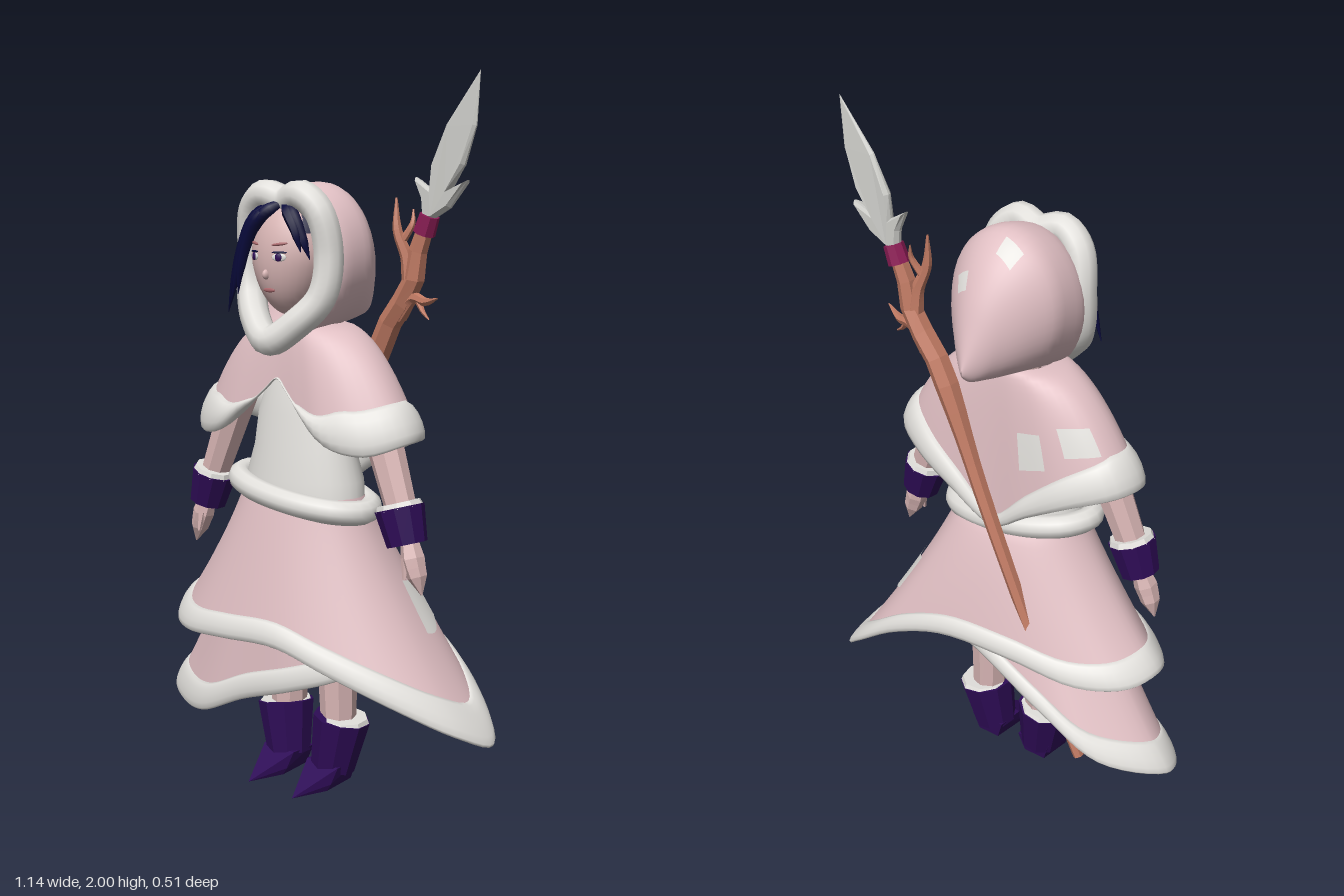
import * as THREE from 'three';
import { mergeVertices } from 'three/addons/utils/BufferGeometryUtils.js';
import { ConvexGeometry } from 'three/addons/geometries/ConvexGeometry.js';

const colours = {
  pink: 0xe0bfc3, white: 0xe2e0dc, skin: 0xd9b6b5, purple: 0x2e0c56, hair: 0x08093a,
  wood: 0xc07a63, magenta: 0x8c1c55, blade: 0xcececa, lip: 0xa8686c,
};
const mats = {};
for (const [name, color] of Object.entries(colours)) {
  mats[name] = new THREE.MeshStandardMaterial({ color, side: THREE.DoubleSide });
  mats[name].name = name;
}
const V = (x, y, z) => new THREE.Vector3(x, y, z);
const loop = (pts) => new THREE.CatmullRomCurve3(pts.map((p) => V(...p)), true);
const path = (pts) => new THREE.CatmullRomCurve3(pts.map((p) => V(...p)));

// Smooth surface from a function of (u, v), welded so closed loops have no seam
function grid(fn, nu, nv) {
  const pos = [], idx = [], p = V(0, 0, 0);
  for (let j = 0; j <= nv; j++) for (let i = 0; i <= nu; i++) {
    fn(i / nu, j / nv, p);
    pos.push(p.x, p.y, p.z);
    if (i < nu && j < nv) {
      const a = j * (nu + 1) + i, b = a + nu + 1;
      idx.push(a, b, a + 1, b, b + 1, a + 1);
    }
  }
  const g = new THREE.BufferGeometry();
  g.setAttribute('position', new THREE.Float32BufferAttribute(pos, 3));
  g.setIndex(idx);
  const m = mergeVertices(g, 1e-5);
  m.computeVertexNormals();
  return m;
}
const patch = (f, u0, u1, t0, t1, off) => grid((u, v, p) =>
  f(u0 + (u1 - u0) * u, t0 + (t1 - t0) * v + 0.02 * u, off, p), 6, 6);

// Cloth draped from an ellipse down to a hem curve; power bends x, y, front z and back z
function cloth(top, hemPts, spread, power) {
  const hem = loop(hemPts);
  return (u, t, off, p) => {
    const h = hem.getPoint(((u % 1) + 1) % 1);
    const a = Math.atan2(h.x / spread[0], h.z / spread[1]), s = Math.sin(a), c = Math.cos(a);
    const mix = (from, to, e) => from + (to - from) * Math.pow(t, e);
    const bendZ = (power[2] + power[3]) / 2 + c * (power[2] - power[3]) / 2;
    return p.set(mix(top.rx * s, h.x, power[0]) + off * s, mix(top.y, h.y, power[1]),
      mix(top.cz + top.rz * c, h.z, bendZ) + off * c);
  };
}
const sheet = (f) => grid((u, v, p) => f(u, v, 0, p), 72, 16);
const furTrim = (f, half, thick) => grid((u, v, p) => {
  const a = v * Math.PI * 2, h = half(u);
  f(u, 1 - h + h * Math.cos(a), -thick * Math.min(1, h / 0.05) * Math.sin(a), p);
}, 72, 12);

// Tube whose radius follows a list of values along its path
function taper(pts, radii, sides = 7, segs = 16) {
  const c = path(pts), g = new THREE.TubeGeometry(c, segs, 1, sides), q = g.attributes.position, p = V(0, 0, 0);
  for (let i = 0; i < q.count; i++) {
    const t = Math.floor(i / (sides + 1)) / segs, k = t * (radii.length - 1), n = Math.min(Math.floor(k), radii.length - 2);
    const r = radii[n] + (radii[n + 1] - radii[n]) * (k - n), o = c.getPointAt(t);
    p.fromBufferAttribute(q, i).sub(o).multiplyScalar(r).add(o);
    q.setXYZ(i, p.x, p.y, p.z);
  }
  g.computeVertexNormals();
  return g;
}
function facet(g) {
  const f = g.index ? g.toNonIndexed() : g;
  f.computeVertexNormals();
  return f;
}
// Faceted cylinder from point a to point b
function limb(a, b, ra, rb, sides = 8) {
  const A = V(...a), B = V(...b), d = B.clone().sub(A);
  const g = new THREE.CylinderGeometry(rb, ra, d.length(), sides);
  g.applyQuaternion(new THREE.Quaternion().setFromUnitVectors(V(0, 1, 0), d.normalize()));
  g.translate(...A.add(B).multiplyScalar(0.5).toArray());
  return facet(g);
}

export function createModel() {
  const root = new THREE.Group();
  const add = (name, geo, mat) => {
    const m = new THREE.Mesh(geo, mats[mat]);
    m.name = name;
    root.add(m);
    return m;
  };
  const blob = (name, mat, x, y, z, sx, sy, sz) => {
    const m = add(name, new THREE.SphereGeometry(1, 16, 12), mat);
    m.position.set(x, y, z);
    m.scale.set(sx, sy, sz);
    return m;
  };

  // Two skirt layers, each sweeping to a tail on its own side
  const upper = cloth({ rx: 0.2, rz: 0.13, y: 0.86, cz: 0.02 }, [
    [-0.1, 0.45, 0.248], [0.1, 0.46, 0.238], [0.25, 0.41, 0.2], [0.42, 0.33, 0.11], [0.54, 0.25, -0.01],
    [0.57, 0.205, -0.13], [0.47, 0.29, -0.203], [0.3, 0.41, -0.228], [0.1, 0.49, -0.232], [-0.12, 0.49, -0.215],
    [-0.32, 0.45, -0.17], [-0.44, 0.45, -0.09], [-0.475, 0.46, 0.02], [-0.41, 0.43, 0.13], [-0.28, 0.43, 0.215],
  ], [0.5, 0.24], [1.2, 1, 0.92, 0.62]);
  const lower = cloth({ rx: 0.18, rz: 0.11, y: 0.85, cz: 0.01 }, [
    [-0.1, 0.25, 0.17], [0.1, 0.32, 0.17], [0.25, 0.38, 0.13], [0.32, 0.44, 0], [0.25, 0.48, -0.13], [0, 0.46, -0.2],
    [-0.24, 0.36, -0.225], [-0.42, 0.25, -0.197], [-0.565, 0.19, -0.06], [-0.54, 0.17, 0.03], [-0.42, 0.155, 0.11], [-0.28, 0.17, 0.16],
  ], [0.5, 0.22], [1.2, 1, 0.85, 0.8]);
  add('upperSkirt', sheet(upper), 'pink');
  add('upperSkirtTrim', furTrim(upper, () => 0.085, 0.016), 'white');
  add('lowerSkirt', sheet(lower), 'pink');
  add('lowerSkirtTrim', furTrim(lower, () => 0.065, 0.014), 'white');
  add('skirtPatch', patch(upper, 0.31, 0.39, 0.35, 0.56, 0.006), 'white');

  // Bodice and tilted belt
  const bodice = new THREE.LatheGeometry([[0.2, 0.82], [0.195, 0.9], [0.17, 0.98], [0.155, 1.08], [0.12, 1.18], [0.07, 1.28]]
    .map(([r, y]) => new THREE.Vector2(r, y)), 32);
  bodice.scale(1, 1, 0.63).translate(0, 0, 0.015);
  add('bodice', bodice, 'white');
  const ring = Array.from({ length: 12 }, (_, i) => {
    const a = i * Math.PI / 6, x = 0.225 * Math.sin(a);
    return [x, 0.853 - 0.13 * x, 0.02 + 0.125 * Math.cos(a)];
  });
  add('belt', new THREE.TubeGeometry(loop(ring), 48, 0.034, 10, true), 'white');

  // Capelet, open in a V at the front and pointed at the back
  const half = [[0.04, 1.148, 0.13], [0.1, 1.095, 0.14], [0.2, 1.02, 0.15], [0.31, 1.0, 0.115], [0.385, 1.03, 0.03],
    [0.365, 1.03, -0.06], [0.25, 0.99, -0.125], [0.12, 0.92, -0.135]];
  const cape = cloth({ rx: 0.1, rz: 0.095, y: 1.33, cz: 0 }, [[0, 1.18, 0.125], ...half, [0, 0.85, -0.13],
    ...half.slice().reverse().map(([x, y, z]) => [-x, y, z])], [0.38, 0.14], [0.7, 1.45, 0.8, 0.8]);
  const capeFur = (u) => {
    const m = Math.min(u, 1 - u);
    return 0.012 + 0.118 * Math.max(0, Math.min(1, 9 * (m - 0.09), 0.1 + 5 * (0.5 - m)));
  };
  add('capelet', sheet(cape), 'pink');
  add('capeletTrim', furTrim(cape, capeFur, 0.02), 'white');
  add('capeletPatch', patch(cape, 0.55, 0.59, 0.52, 0.74, 0.006), 'white');
  add('capeletPatch', patch(cape, 0.62, 0.665, 0.5, 0.7, 0.006), 'white');

  // Hood drawn back to a drooping point: stations of z, top, bottom, half width
  const stations = [[0.1, 1.67, 1.27, 0.15], [0.03, 1.7, 1.29, 0.178], [-0.06, 1.71, 1.31, 0.172], [-0.13, 1.66, 1.32, 0.13],
    [-0.19, 1.57, 1.33, 0.075], [-0.228, 1.47, 1.34, 0.035], [-0.255, 1.38, 1.365, 0.002]];
  const spine = path(stations.map(([z, t, b]) => [(t + b) / 2, (t - b) / 2, z]));
  const width = path(stations.map(([, , , w]) => [w, 0, 0]));
  const hood = (u, v, off, p) => {
    const s = spine.getPoint(v), w = width.getPoint(v).x, a = -u * Math.PI * 2;
    return p.set((w + off) * Math.sin(a), s.x + (s.y + off) * Math.cos(a), s.z);
  };
  add('hood', grid((u, v, p) => hood(u, v, 0, p), 40, 24), 'pink');
  add('hoodPatch', patch(hood, 0.02, 0.085, 0.39, 0.49, 0.005), 'white');
  add('hoodPatch', patch(hood, -0.13, -0.07, 0.55, 0.63, 0.005), 'white');
  const rimSide = [[0.07, 1.678, 0.1], [0.125, 1.635, 0.09], [0.146, 1.52, 0.075], [0.134, 1.41, 0.09], [0.075, 1.335, 0.13]];
  add('hoodRim', new THREE.TubeGeometry(loop([[0, 1.662, 0.09], ...rimSide, [0, 1.288, 0.155],
    ...rimSide.slice().reverse().map(([x, y, z]) => [-x, y, z])]), 64, 0.042, 10, true), 'white');

  // Head with a narrowed chin
  const head = new THREE.SphereGeometry(1, 28, 22), hp = head.attributes.position;
  for (let i = 0; i < hp.count; i++) {
    const y = hp.getY(i), k = y < 0 ? 1 + 0.22 * y : 1;
    hp.setXYZ(i, hp.getX(i) * 0.115 * k, y * 0.16, hp.getZ(i) * 0.1);
  }
  head.computeVertexNormals();
  add('head', head, 'skin').position.set(0, 1.512, 0.07);
  add('neck', limb([0, 1.22, 0], [0, 1.42, 0.04], 0.05, 0.05, 12), 'skin');
  blob('nose', 'skin', 0, 1.468, 0.164, 0.009, 0.014, 0.014);
  blob('mouth', 'lip', 0, 1.425, 0.154, 0.023, 0.006, 0.004);
  for (const s of [-1, 1]) {
    blob('eye', 'white', s * 0.046, 1.515, 0.162, 0.021, 0.011, 0.004).rotation.y = s * 0.4;
    blob('iris', 'purple', s * 0.046, 1.515, 0.165, 0.01, 0.011, 0.004).rotation.y = s * 0.4;
    blob('lash', 'hair', s * 0.047, 1.528, 0.162, 0.023, 0.003, 0.004).rotation.y = s * 0.4;
    blob('eyebrow', 'lip', s * 0.047, 1.55, 0.161, 0.024, 0.004, 0.004).rotation.set(0, s * 0.4, s * 0.12);
  }

  // Hair cap and swept locks
  const cap = add('hairCap', new THREE.SphereGeometry(1, 24, 12, 0, Math.PI * 2, 0, 1.2), 'hair');
  cap.position.set(0, 1.522, 0.05);
  cap.scale.set(0.128, 0.155, 0.108);
  const locks = [
    [[-0.06, 1.62, 0.145], [-0.1, 1.53, 0.16], [-0.13, 1.44, 0.16], [-0.16, 1.355, 0.155]],
    [[-0.05, 1.62, 0.15], [-0.088, 1.54, 0.165], [-0.108, 1.46, 0.17], [-0.13, 1.39, 0.172]],
    [[-0.035, 1.62, 0.155], [-0.07, 1.56, 0.165], [-0.092, 1.48, 0.172], [-0.1, 1.41, 0.175]],
    [[-0.08, 1.62, 0.125], [-0.12, 1.54, 0.13], [-0.14, 1.46, 0.14], [-0.15, 1.41, 0.145]],
    [[-0.02, 1.63, 0.15], [-0.05, 1.59, 0.16], [-0.075, 1.54, 0.168]],
    [[0.06, 1.63, 0.125], [0.095, 1.57, 0.125], [0.118, 1.51, 0.118]],
    [[0.05, 1.63, 0.13], [0.08, 1.59, 0.137], [0.1, 1.53, 0.135]],
  ];
  for (const l of locks) add('hairLock', taper([[0.015, 1.66, 0.11], ...l], [0.01, 0.018, 0.016, 0.012, 0.001], 6), 'hair');

  for (const s of [-1, 1]) {
    // Arm, fur-lined cuff and mitten-like hand
    add('arm', limb([s * 0.25, 1.14, 0.01], [s * 0.375, 0.83, 0.025], 0.056, 0.042), 'skin');
    add('cuff', limb([s * 0.362, 0.86, 0.027], [s * 0.392, 0.765, 0.029], 0.068, 0.055, 10), 'purple');
    add('cuffLining', limb([s * 0.358, 0.873, 0.027], [s * 0.363, 0.857, 0.027], 0.06, 0.066, 10), 'white');
    add('hand', facet(taper([[s * 0.395, 0.775, 0.025], [s * 0.415, 0.72, 0.03], [s * 0.43, 0.68, 0.03], [s * 0.445, 0.635, 0.03]],
      [0.025, 0.033, 0.027, 0.002], 6, 6)), 'skin');
    add('thumb', limb([s * 0.4, 0.73, 0.045], [s * 0.405, 0.675, 0.055], 0.013, 0.005, 5), 'skin');

    // Leg and boot with a pointed toe
    add('leg', limb([s * 0.085, 0.7, -0.02], [s * 0.1, 0.16, -0.02], 0.07, 0.05), 'skin');
    add('bootShaft', limb([s * 0.088, 0.05, -0.008], [s * 0.112, 0.2, -0.02], 0.064, 0.083, 9), 'purple');
    add('bootLining', limb([s * 0.112, 0.192, -0.02], [s * 0.113, 0.205, -0.02], 0.08, 0.074, 9), 'white');
    const foot = [V(s * 0.088, 0, 0.16)];
    for (const k of [-1, 1]) for (const [w, y, z] of [[0.036, 0.012, -0.045], [0.056, 0.07, -0.052], [0.06, 0.07, 0.035], [0.052, 0.025, 0.055], [0.042, 0.005, 0.06]])
      foot.push(V(s * 0.088 + k * w, y, z));
    add('foot', facet(new ConvexGeometry(foot)), 'purple');
  }

  // Gnarled staff carried across the back
  const twig = (name, pts, radii) => add(name, facet(taper(pts, radii, 6, 20)), 'wood');
  twig('staff', [[-0.325, 0.2, -0.155], [-0.17, 0.55, -0.165], [-0.005, 0.93, -0.163], [0.17, 1.33, -0.15], [0.25, 1.43, -0.145],
    [0.265, 1.51, -0.145], [0.295, 1.6, -0.15]], [0.016, 0.019, 0.019, 0.02, 0.022, 0.024, 0.034, 0.032, 0.022]);
  twig('tallBranch', [[0.245, 1.43, -0.145], [0.235, 1.51, -0.14], [0.21, 1.58, -0.13], [0.2, 1.67, -0.135]], [0.025, 0.018, 0.013, 0.003]);
  twig('tallBranchFork', [[0.22, 1.55, -0.135], [0.245, 1.6, -0.15], [0.24, 1.64, -0.16]], [0.012, 0.009, 0.002]);
  twig('sideBranch', [[0.2, 1.35, -0.15], [0.26, 1.4, -0.14], [0.32, 1.395, -0.12], [0.385, 1.41, -0.09]], [0.026, 0.016, 0.012, 0.002]);
  twig('sideBranchFork', [[0.28, 1.4, -0.135], [0.31, 1.37, -0.12], [0.34, 1.35, -0.11]], [0.011, 0.007, 0.002]);

  // Spearhead with barbs, thinning to its tip, and its binding
  add('binding', limb([0.287, 1.575, -0.15], [0.306, 1.625, -0.15], 0.031, 0.028), 'magenta');
  const outline = [[0.29, 1.62], [0.285, 1.67], [0.262, 1.72], [0.312, 1.69], [0.318, 1.76], [0.365, 1.86], [0.467, 1.993],
    [0.455, 1.86], [0.42, 1.76], [0.37, 1.69], [0.43, 1.715], [0.375, 1.65], [0.32, 1.62]];
  const blade = new THREE.ExtrudeGeometry(new THREE.Shape(outline.map(([x, y]) => new THREE.Vector2(x, y))),
    { depth: 0.008, bevelThickness: 0.012, bevelSize: 0.008, bevelOffset: -0.003, bevelSegments: 1 });
  const bp = blade.attributes.position;
  for (let i = 0; i < bp.count; i++) bp.setZ(i, -0.15 + (bp.getZ(i) - 0.004) * Math.min(1, 0.08 + (2 - bp.getY(i)) * 3.5));
  blade.computeVertexNormals();
  add('spearhead', blade, 'blade');
  return root;
}
